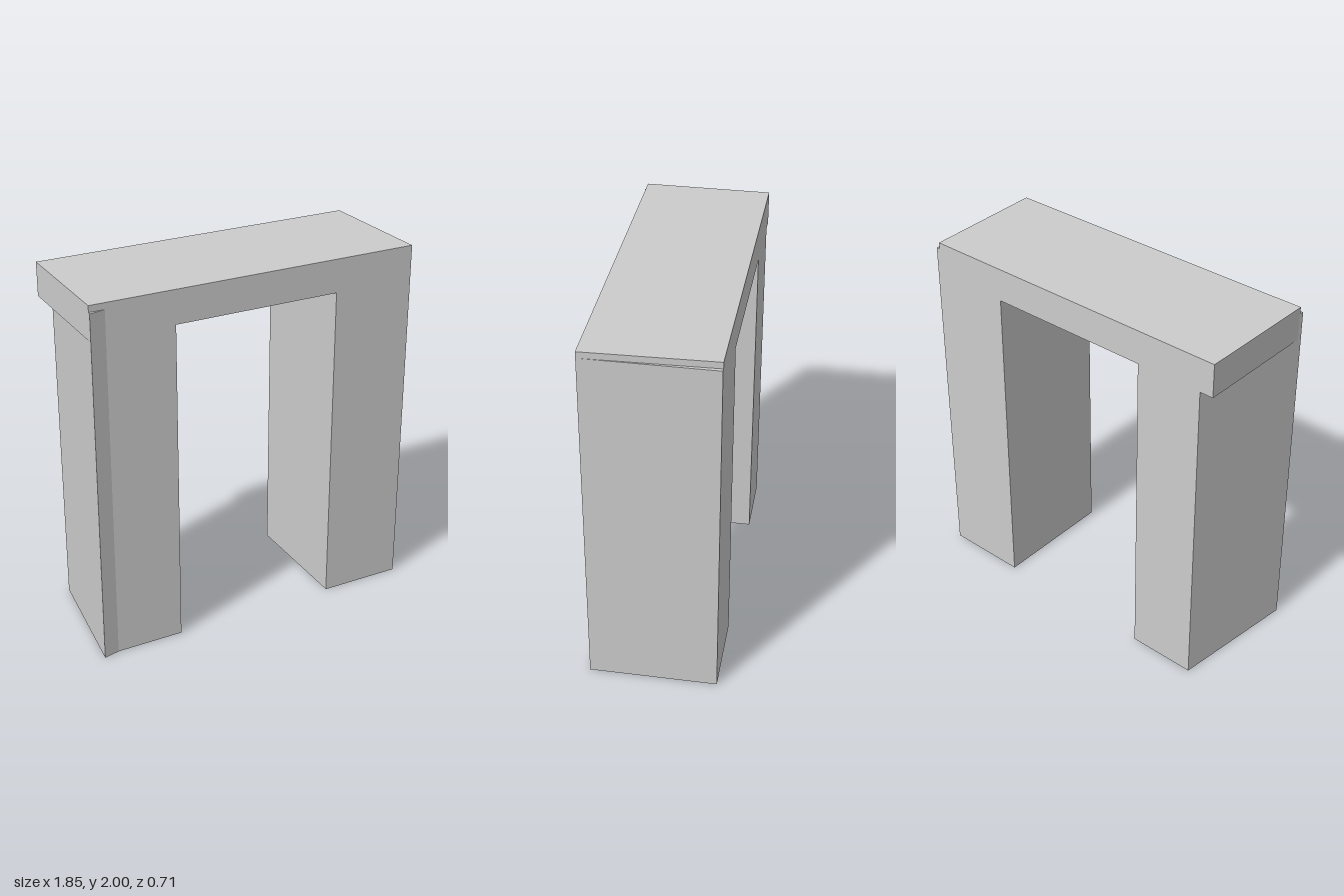
import * as THREE from 'three';

const material = new THREE.MeshStandardMaterial({ color: 0xcccccc, flatShading: true });

// Upright prism from a plan outline of [x, z] points
function prism(name, plan, bottom, top) {
  const shape = new THREE.Shape(plan.map(([x, z]) => new THREE.Vector2(x, -z)));
  const geometry = new THREE.ExtrudeGeometry(shape, { depth: top - bottom, bevelEnabled: false });
  geometry.rotateX(-Math.PI / 2);
  geometry.translate(0, bottom, 0);
  const mesh = new THREE.Mesh(geometry, material);
  mesh.name = name;
  return mesh;
}

export function createModel() {
  const group = new THREE.Group();
  group.name = 'archway';
  const back = -0.355, front = 0.333, inner = 0.463, legTop = 1.965;

  // Lintel with slightly skewed ends
  group.add(prism('lintel', [
    [-0.922, front], [0.923, front], [0.903, back], [-0.918, back],
  ], 1.815, 2));

  // Straight leg
  group.add(prism('leftLeg', [
    [inner, front], [0.923, front], [0.923, back], [inner, back],
  ], 0, legTop));

  // Leg with a slanted outer side and a flared front corner
  group.add(prism('rightLeg', [
    [-inner, front], [-inner, back], [-0.842, back], [-0.925, 0.353], [-0.838, front],
  ], 0, legTop));

  return group;
}
